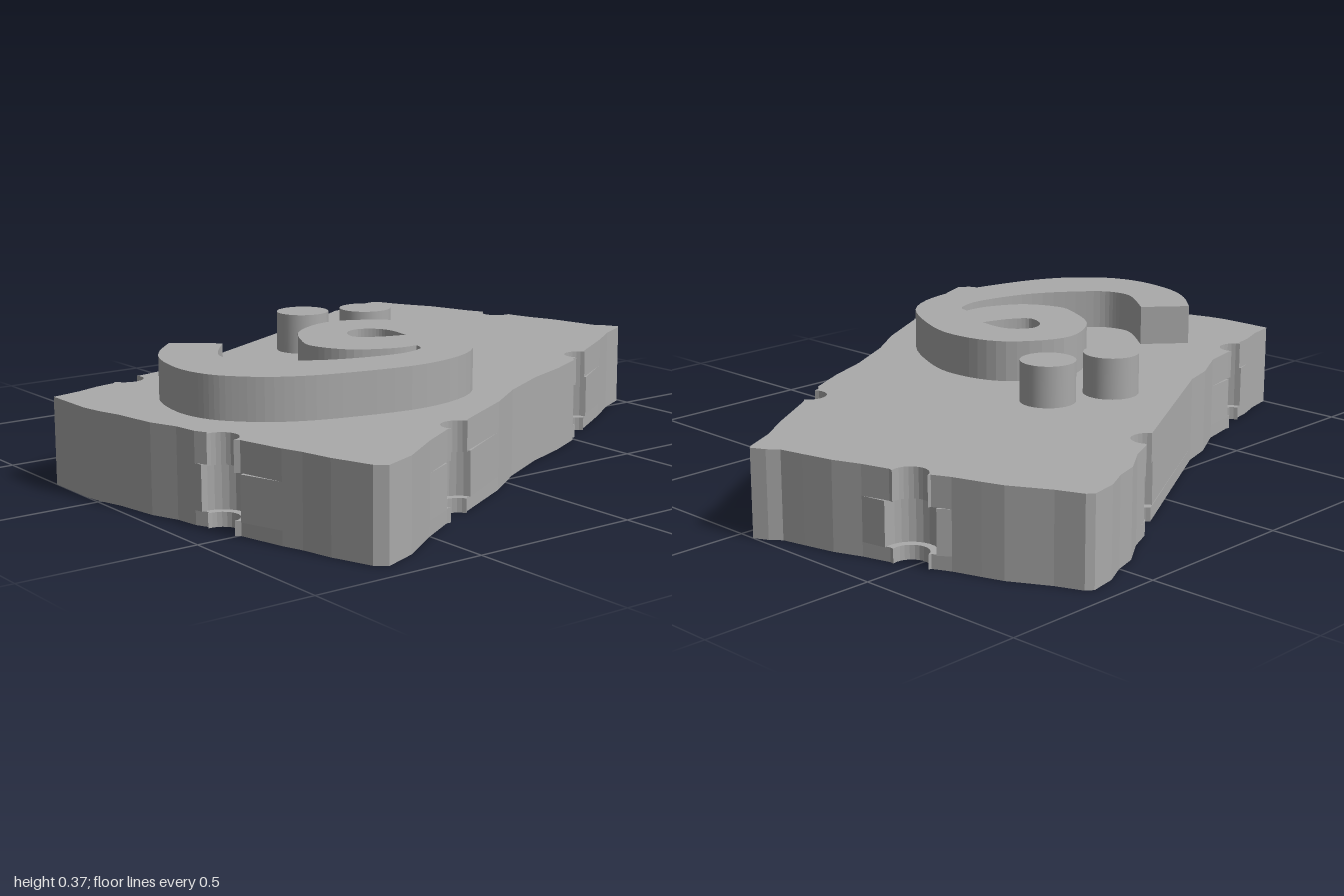
import * as THREE from 'three';

const grey = new THREE.MeshStandardMaterial({ color: 0xaaaaaa });
grey.name = 'stoneGrey';

// Plan coordinates are [x, z]; shapes use (x, -z) so extrusion goes up +y
const vec = ([x, z]) => new THREE.Vector2(x, -z);

function slice(name, shape, y0, y1, curveSegments = 5) {
  const geo = new THREE.ExtrudeGeometry(shape, { depth: y1 - y0, bevelEnabled: false, curveSegments });
  geo.rotateX(-Math.PI / 2);
  geo.translate(0, y0, 0);
  const mesh = new THREE.Mesh(geo, grey);
  mesh.name = name;
  return mesh;
}

// Rough broken edges of the slab, each split where a notch is cut
const edges = [
  { pts: [[-1, -.06], [-1, -.23], [-.91, -.25], [-.84, -.275], [-.78, -.287]], notch: [-.72, -.318] },
  { pts: [[-.66, -.335], [-.55, -.36], [-.43, -.425], [-.33, -.455], [.155, -.71]], notch: [.215, -.745] },
  { pts: [[.27, -.78], [.34, -.81], [.43, -.87], [.5, -.89], [.57, -.925], [.65, -.94], [.67, -.925], [.7, -.85],
    [.76, -.74], [.78, -.68], [.805, -.6], [.828, -.55]], notch: [.853, -.5] },
  { pts: [[.868, -.44], [.89, -.36], [.92, -.28], [.94, -.19], [.955, -.12], [.98, -.09], [1, -.05], [.99, -.04],
    [.89, .01], [.79, .08], [.62, .185]], notch: [.565, .225] },
  { pts: [[.505, .255], [.49, .275], [.37, .335], [.23, .39], [.06, .48], [-.07, .57], [-.275, .68]], notch: [-.333, .715] },
  { pts: [[-.39, .735], [-.5, .8], [-.63, .89], [-.73, .93], [-.76, .905], [-.8, .79], [-.82, .7], [-.84, .64],
    [-.872, .505]], notch: [-.893, .445] },
  { pts: [[-.893, .385], [-.91, .35], [-.92, .28], [-.95, .2], [-.97, .07], [-.99, 0]] },
];

// Slab outline with half-round notches of radius r
function slabShape(r) {
  const out = [];
  const clear = (p) => edges.every(({ notch: c }) => !c || Math.hypot(p[0] - c[0], p[1] - c[1]) > r + .004);
  edges.forEach(({ pts, notch: c }, i) => {
    out.push(...pts.filter(clear));
    if (!c) return;
    const a = pts[pts.length - 1], b = edges[i + 1].pts[0];
    const len = Math.hypot(b[0] - a[0], b[1] - a[1]);
    const tx = (b[0] - a[0]) / len, tz = (b[1] - a[1]) / len;
    for (let k = 0; k <= 12; k++) {
      const u = -r * Math.cos(k * Math.PI / 12), w = r * Math.sin(k * Math.PI / 12);
      out.push([c[0] + tx * u - tz * w, c[1] + tz * u + tx * w]);
    }
  });
  return new THREE.Shape(out.map(vec));
}

// Underside pocket outline
const pocket = [[.39, -.385], [-.012, -.515], [-.82, -.165], [-.885, -.03], [-.795, .45], [-.385, .63], [.14, .37]];
function withPocket(shape) {
  shape.holes.push(new THREE.Path(pocket.map(vec)));
  return shape;
}

// Raised curl: outer sweep from tail to inner tip, then back along the inside
const outerCurl = [[-.66, -.175], [-.75, -.08], [-.805, .02], [-.83, .15], [-.815, .25], [-.77, .325], [-.68, .405],
  [-.53, .465], [-.267, .505], [-.05, .43], [.085, .22], [.115, .065], [.065, -.08], [-.095, -.17], [-.26, -.1],
  [-.35, .04], [-.365, .12], [-.315, .22], [-.21, .278], [-.13, .285]];
const innerCurl = [[-.155, .33], [-.26, .35], [-.45, .3], [-.61, .185], [-.65, .11], [-.635, .04], [-.545, -.075]];
const eye = [[-.055, .14], [-.135, .115], [-.19, .07], [-.165, .005], [-.11, -.018], [-.06, .015], [-.045, .07], [-.055, .14]];

function curlShape() {
  const s = new THREE.Shape();
  s.moveTo(outerCurl[0][0], -outerCurl[0][1]);
  s.splineThru(outerCurl.slice(1).map(vec));
  s.splineThru(innerCurl.map(vec));
  s.closePath();
  const hole = new THREE.Path();
  hole.moveTo(eye[0][0], -eye[0][1]);
  hole.splineThru(eye.slice(1).map(vec));
  s.holes.push(hole);
  return s;
}

export function createModel() {
  const model = new THREE.Group();
  model.name = 'carvedTile';

  // Slab in layers: notches widen into sockets midway, pocket opens below
  const narrow = .05, wide = .073;
  model.add(
    slice('slabFoot', withPocket(slabShape(narrow)), 0, .04),
    slice('slabSocketLower', withPocket(slabShape(wide)), .04, .13),
    slice('slabSocketUpper', slabShape(wide), .13, .165),
    slice('slabTop', slabShape(narrow), .165, .25),
  );

  // Raised ornament
  model.add(slice('curl', curlShape(), .25, .37));
  [[-.055, -.375], [.135, -.305]].forEach(([x, z], i) => {
    const knob = new THREE.Mesh(new THREE.CylinderGeometry(.08, .08, .12, 40), grey);
    knob.position.set(x, .31, z);
    knob.name = i ? 'rightDot' : 'leftDot';
    model.add(knob);
  });
  return model;
}
